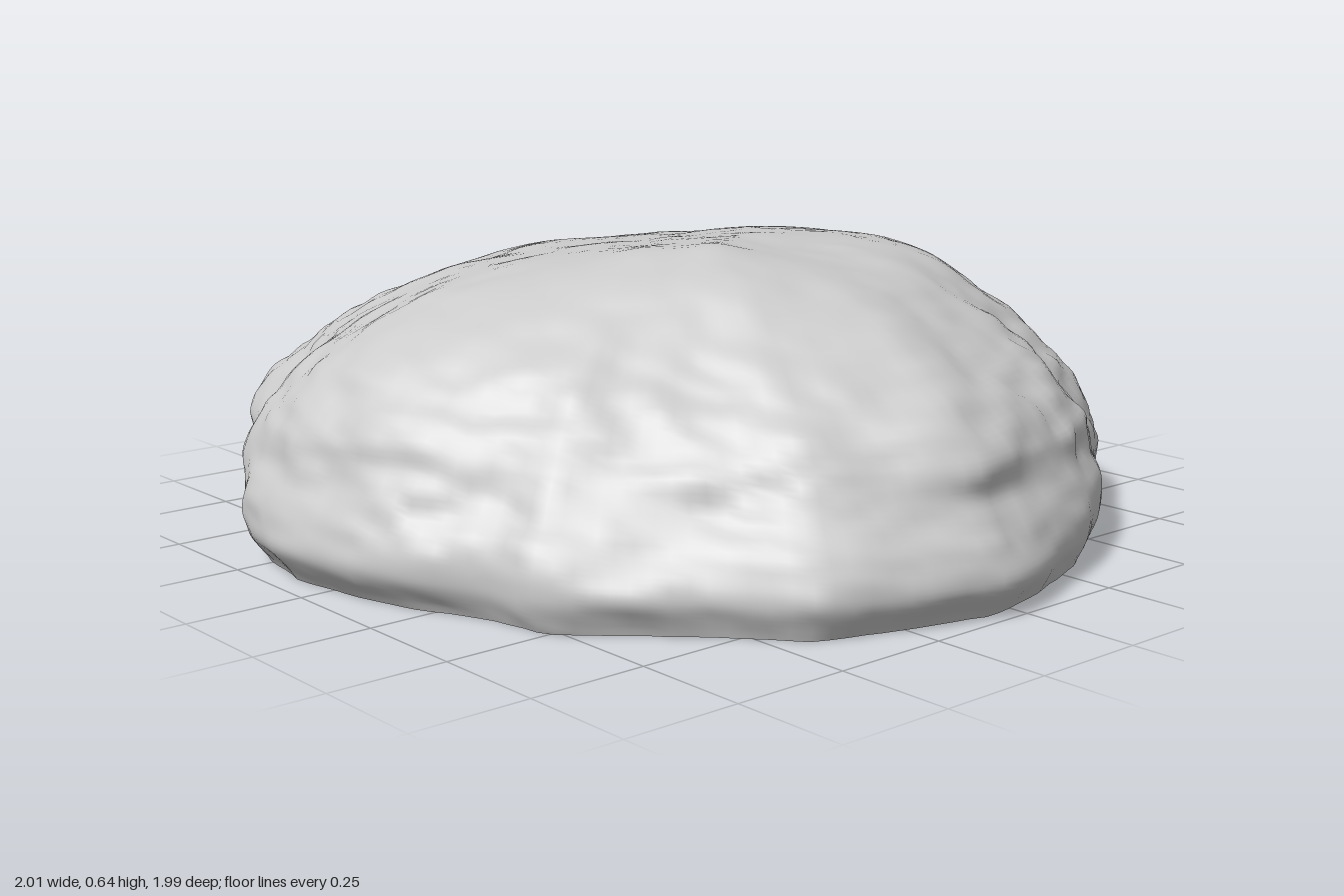
import * as THREE from 'three';
import { mergeVertices } from 'three/addons/utils/BufferGeometryUtils.js';
import { ParametricGeometry } from 'three/addons/geometries/ParametricGeometry.js';

// Widest plan outline as x, z corners, from +x towards +z
const OUTLINE = [
  [1, 0.07], [0.98, 0.145], [0.93, 0.305], [0.875, 0.445], [0.725, 0.58], [0.62, 0.695],
  [0.5, 0.8], [0.375, 0.83], [0.23, 0.915], [0.085, 0.96], [-0.105, 0.995], [-0.275, 0.97],
  [-0.4, 0.895], [-0.56, 0.775], [-0.72, 0.695], [-0.8, 0.615], [-0.87, 0.445], [-0.95, 0.295],
  [-1, 0.135], [-0.955, -0.08], [-0.905, -0.24], [-0.8, -0.43], [-0.7, -0.59], [-0.61, -0.695],
  [-0.515, -0.845], [-0.4, -0.9], [-0.275, -0.985], [-0.13, -1], [-0.01, -0.97], [0.055, -0.985],
  [0.245, -0.95], [0.405, -0.865], [0.565, -0.75], [0.66, -0.615], [0.795, -0.48], [0.89, -0.32],
  [0.93, -0.19], [0.975, -0.055],
];

// Section heights, and the fraction of the outline reached there in eight
// directions, every 45 degrees from +x towards +z
const HEIGHTS = [0, 0.07, 0.14, 0.22, 0.3, 0.38, 0.45, 0.52, 0.57, 0.597, 0.605];
const SECTIONS = [
  [0.97, 1.01, 0.99, 0.95, 0.935, 0.85, 0.75, 0.63, 0.5],
  [0.97, 0.995, 0.97, 0.91, 0.85, 0.77, 0.68, 0.56, 0.45],
  [0.95, 1.005, 1, 0.96, 0.94, 0.88, 0.8, 0.66, 0.48],
  [0.94, 0.955, 0.98, 1, 0.94, 0.85, 0.74, 0.6, 0.43],
  [0.98, 1, 0.975, 0.93, 0.905, 0.845, 0.765, 0.64, 0.44],
  [0.97, 1, 0.975, 0.935, 0.885, 0.82, 0.73, 0.61, 0.45],
  [0.96, 1, 0.975, 0.97, 0.92, 0.87, 0.79, 0.675, 0.54],
  [0.97, 0.99, 1, 0.985, 0.935, 0.865, 0.77, 0.66, 0.53],
].map(row => new THREE.CatmullRomCurve3(
  [...row, row[8] * 0.5, 0].map((r, i) => new THREE.Vector3(r, HEIGHTS[i], 0)), false, 'catmullrom'));

const { lerp, smoothstep } = THREE.MathUtils;

// Smooth seeded value noise in the range -1 to 1
function hash(x, y, z) {
  const s = Math.sin(x * 127.1 + y * 311.7 + z * 74.7 + 3.7) * 43758.5453;
  return (s - Math.floor(s)) * 2 - 1;
}
function noise(x, y, z) {
  const ix = Math.floor(x), iy = Math.floor(y), iz = Math.floor(z);
  const [u, v, w] = [x - ix, y - iy, z - iz].map(t => t * t * (3 - 2 * t));
  const row = (j, k) => lerp(hash(ix, iy + j, iz + k), hash(ix + 1, iy + j, iz + k), u);
  return lerp(lerp(row(0, 0), row(1, 0), v), lerp(row(0, 1), row(1, 1), v), w);
}

// Distance from the middle to the outline: where a ray crosses an outline edge
function planRadius(dx, dz) {
  for (let i = 0; i < OUTLINE.length; i++) {
    const [ax, az] = OUTLINE[i], [bx, bz] = OUTLINE[(i + 1) % OUTLINE.length];
    const a = dx * az - dz * ax, b = dx * bz - dz * bx;
    if (a <= 0 && b > 0 && dx * ax + dz * az > 0) {
      const t = a / (a - b);
      return Math.hypot(lerp(ax, bx, t), lerp(az, bz, t));
    }
  }
  return 1;
}

// Soft round swelling centred on x, z
const swell = (x, z, cx, cz, spread) => Math.exp(-((x - cx) ** 2 + (z - cz) ** 2) / spread);

// Dome surface: u runs round the plan, v from the rim to the summit
function domePoint(u, v, target) {
  const turn = (1 - u) % 1, angle = turn * Math.PI * 2;
  const dx = Math.cos(angle), dz = Math.sin(angle);
  const k = Math.floor(turn * 8), f = smoothstep(turn * 8 - k, 0, 1);
  const section = SECTIONS[k].getPoint(v).lerp(SECTIONS[(k + 1) % 8].getPoint(v), f);
  const radius = Math.max(section.x, 0) * planRadius(dx, dz);
  const x = dx * radius, z = dz * radius;
  // Summit in front and to the left of the middle, with a lower shoulder behind
  const ridge = 0.045 * swell(x, z, 0.24, 0.2, 0.05) + 0.03 * swell(x, z, 0.12, -0.28, 0.1);
  target.set(x, section.y + ridge * smoothstep(section.y, 0.3, 0.58), z);
}

function createRockShell() {
  let geometry = new ParametricGeometry(domePoint, 160, 70);
  geometry.deleteAttribute('uv');
  geometry.deleteAttribute('normal');
  geometry = mergeVertices(geometry, 1e-5);
  geometry.computeVertexNormals();

  // Roughen along the normals, more on the flanks than on the top, least at the base
  const pos = geometry.attributes.position, nor = geometry.attributes.normal;
  const p = new THREE.Vector3(), n = new THREE.Vector3();
  for (let i = 0; i < pos.count; i++) {
    p.fromBufferAttribute(pos, i);
    n.fromBufferAttribute(nor, i);
    const onRim = p.y < 1e-4;
    const flank = 1 - smoothstep(p.y, 0.35, 0.6);
    const bump = 0.004 * noise(p.x * 4, p.y * 7, p.z * 4)
      + (0.005 + 0.007 * flank) * noise(p.x * 8 + 9, p.y * 14, p.z * 8)
      + (0.002 + 0.006 * flank) * noise(p.x * 18, p.y * 26 + 5, p.z * 18);
    p.addScaledVector(n, bump * lerp(0.5, 1, smoothstep(p.y, 0.08, 0.22)));
    pos.setXYZ(i, p.x, onRim ? 0 : Math.max(p.y, 0.002), p.z);
  }
  geometry.computeVertexNormals();
  return geometry;
}

export function createModel() {
  const group = new THREE.Group();
  group.name = 'rock';
  // Hollow shell, open underneath
  const material = new THREE.MeshStandardMaterial({ color: 0xcccccc, side: THREE.DoubleSide });
  const shell = new THREE.Mesh(createRockShell(), material);
  shell.name = 'rockShell';
  group.add(shell);
  return group;
}
